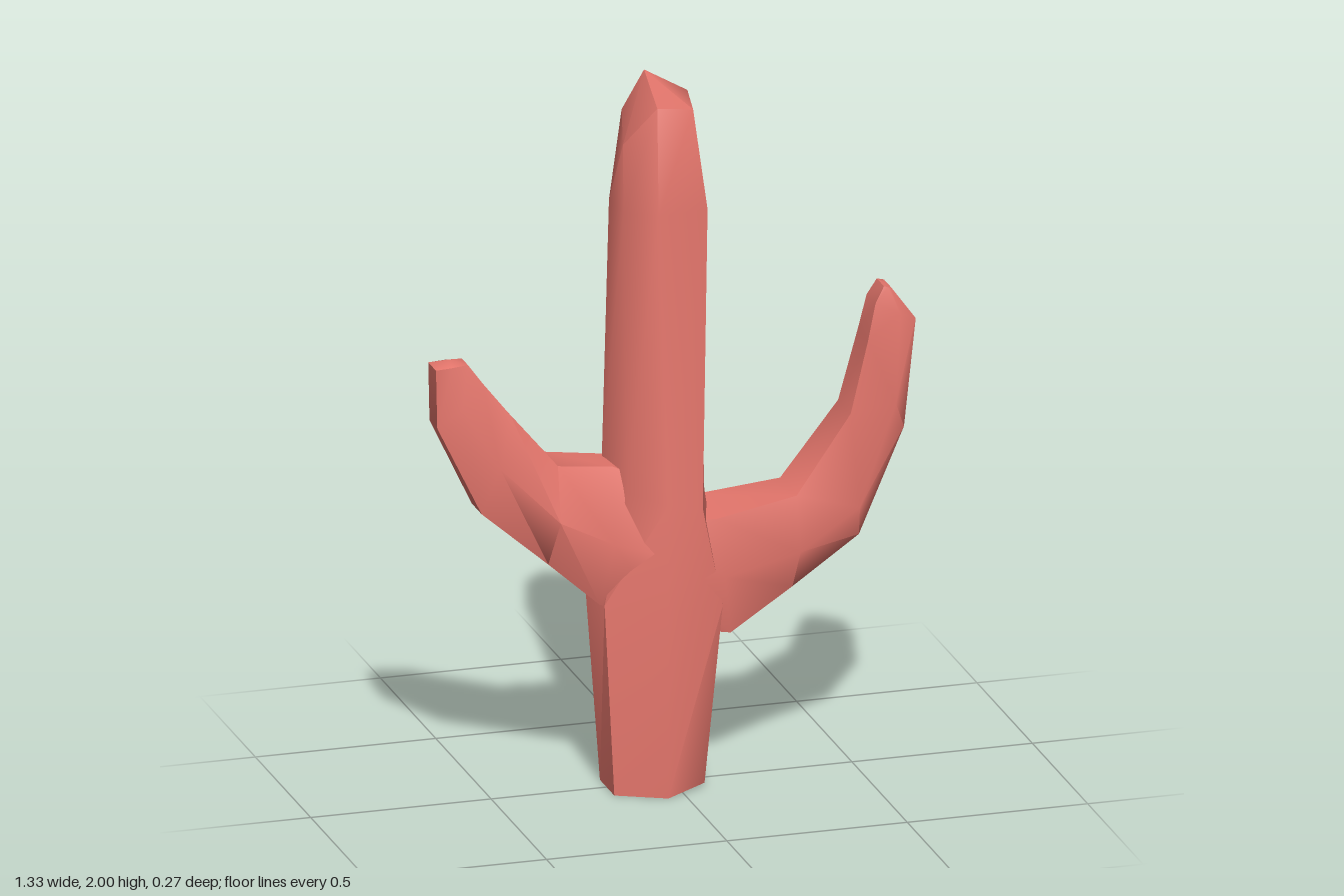
import * as THREE from 'three';
import { toCreasedNormals } from 'three/addons/utils/BufferGeometryUtils.js';

// Skin a list of equal-sized rings (counter-clockwise about the direction of travel)
// and close both ends with fans; endPoint overrides the centre of the last fan.
function loft(rings, endPoint) {
  const pos = [];
  const tri = (a, b, c) => pos.push(...a, ...b, ...c);
  const n = rings[0].length;
  const centre = (ring) => [0, 1, 2].map((k) => ring.reduce((s, p) => s + p[k], 0) / n);
  for (let r = 0; r < rings.length - 1; r++) {
    const a = rings[r], b = rings[r + 1];
    for (let i = 0; i < n; i++) {
      const j = (i + 1) % n;
      tri(a[i], a[j], b[j]);
      tri(a[i], b[j], b[i]);
    }
  }
  const first = rings[0], last = rings[rings.length - 1];
  const c0 = centre(first), c1 = endPoint || centre(last);
  for (let i = 0; i < n; i++) {
    const j = (i + 1) % n;
    tri(first[j], first[i], c0);
    tri(last[i], last[j], c1);
  }
  const geometry = new THREE.BufferGeometry();
  geometry.setAttribute('position', new THREE.Float32BufferAttribute(pos, 3));
  return toCreasedNormals(geometry, 1.0);
}

// Six-sided arm section: inner (upper) edge, mid ridge and outer (lower) edge,
// each given as a front and a back z. t places the ridge between upper and lower.
function armRing([ux, uy, lx, ly, t, uf, ub, mf, mb, lf, lb]) {
  const mx = ux + (lx - ux) * t, my = uy + (ly - uy) * t;
  return [[ux, uy, uf], [mx, my, mf], [lx, ly, lf], [lx, ly, lb], [mx, my, mb], [ux, uy, ub]];
}

export function createModel() {
  const group = new THREE.Group();
  group.name = 'cactus';
  const material = new THREE.MeshStandardMaterial({ color: 0xe5766c });

  const add = (name, geometry) => {
    const mesh = new THREE.Mesh(geometry, material);
    mesh.name = name;
    group.add(mesh);
  };

  // Trunk: irregular hexagons, right-front, right-back, back, left-back, left-front, front
  const trunk = [
    [[0.07, 0.01, 0.07], [0.07, 0.01, -0.06], [-0.05, 0, -0.125], [-0.18, 0, -0.06], [-0.18, 0, 0.07], [-0.05, 0, 0.135]],
    [[0.105, 0.52, 0.12], [0.13, 0.44, -0.03], [-0.02, 0.5, -0.13], [-0.22, 0.54, -0.06], [-0.21, 0.54, 0.08], [-0.05, 0.52, 0.135]],
    [[0.05, 0.8, 0.12], [0.1, 0.8, -0.03], [0, 0.8, -0.13], [-0.175, 0.9, -0.06], [-0.145, 0.85, 0.07], [-0.05, 0.82, 0.132]],
    [[0.08, 1.62, 0.065], [0.085, 1.63, -0.04], [0, 1.63, -0.132], [-0.155, 1.63, -0.06], [-0.15, 1.63, 0.055], [-0.07, 1.63, 0.112]],
    [[0.04, 1.905, 0.065], [0.05, 1.93, -0.02], [-0.01, 1.9, -0.08], [-0.12, 1.88, -0.06], [-0.15, 1.82, 0.05], [-0.07, 1.93, 0.1]],
  ];
  add('trunk', loft(trunk, [-0.07, 2, -0.02]));

  // Taller arm on the left side, rooted inside the trunk
  const leftArm = [
    [-0.02, 0.75, -0.02, 0.45, 0.5, 0.06, -0.06, 0.12, -0.12, 0.06, -0.05],
    [0.09, 0.765, 0.13, 0.44, 0.5, 0.115, -0.09, 0.128, -0.11, 0.11, -0.03],
    [0.33, 0.785, 0.32, 0.53, 0.55, 0.055, -0.095, 0.11, -0.095, 0.05, -0.05],
    [0.48, 1.0, 0.51, 0.65, 0.75, 0.055, -0.06, 0.065, -0.08, 0.03, -0.045],
    [0.53, 1.2, 0.635, 0.94, 0.7, 0.05, -0.045, 0.062, -0.065, 0.03, -0.045],
    [0.55, 1.3, 0.66, 1.25, 0.6, 0.05, -0.03, 0.06, -0.055, 0.055, -0.03],
    [0.575, 1.345, 0.595, 1.34, 0.5, 0.045, -0.02, 0.05, -0.02, 0.045, -0.02],
  ];
  add('leftArm', loft(leftArm.map(armRing)));

  // Shorter arm on the right side; rings reversed because it runs towards -x
  const rightArm = [
    [-0.05, 0.85, -0.05, 0.5, 0.5, 0.04, -0.05, 0.12, -0.12, 0.06, -0.05],
    [-0.17, 0.91, -0.22, 0.54, 0.5, 0.03, -0.08, 0.128, -0.128, 0.07, -0.05],
    [-0.33, 0.935, -0.36, 0.665, 0.5, 0.05, -0.07, 0.125, -0.125, 0.06, -0.05],
    [-0.46, 1.09, -0.54, 0.82, 0.5, 0.045, -0.05, 0.085, -0.09, 0.045, -0.045],
    [-0.535, 1.185, -0.66, 1.07, 0.5, 0.04, -0.04, 0.062, -0.062, 0.035, -0.035],
    [-0.575, 1.24, -0.665, 1.235, 0.5, 0.035, -0.02, 0.04, -0.03, 0.04, -0.03],
  ];
  add('rightArm', loft(rightArm.map((row) => armRing(row).reverse()), [-0.615, 1.25, 0.005]));

  return group;
}
